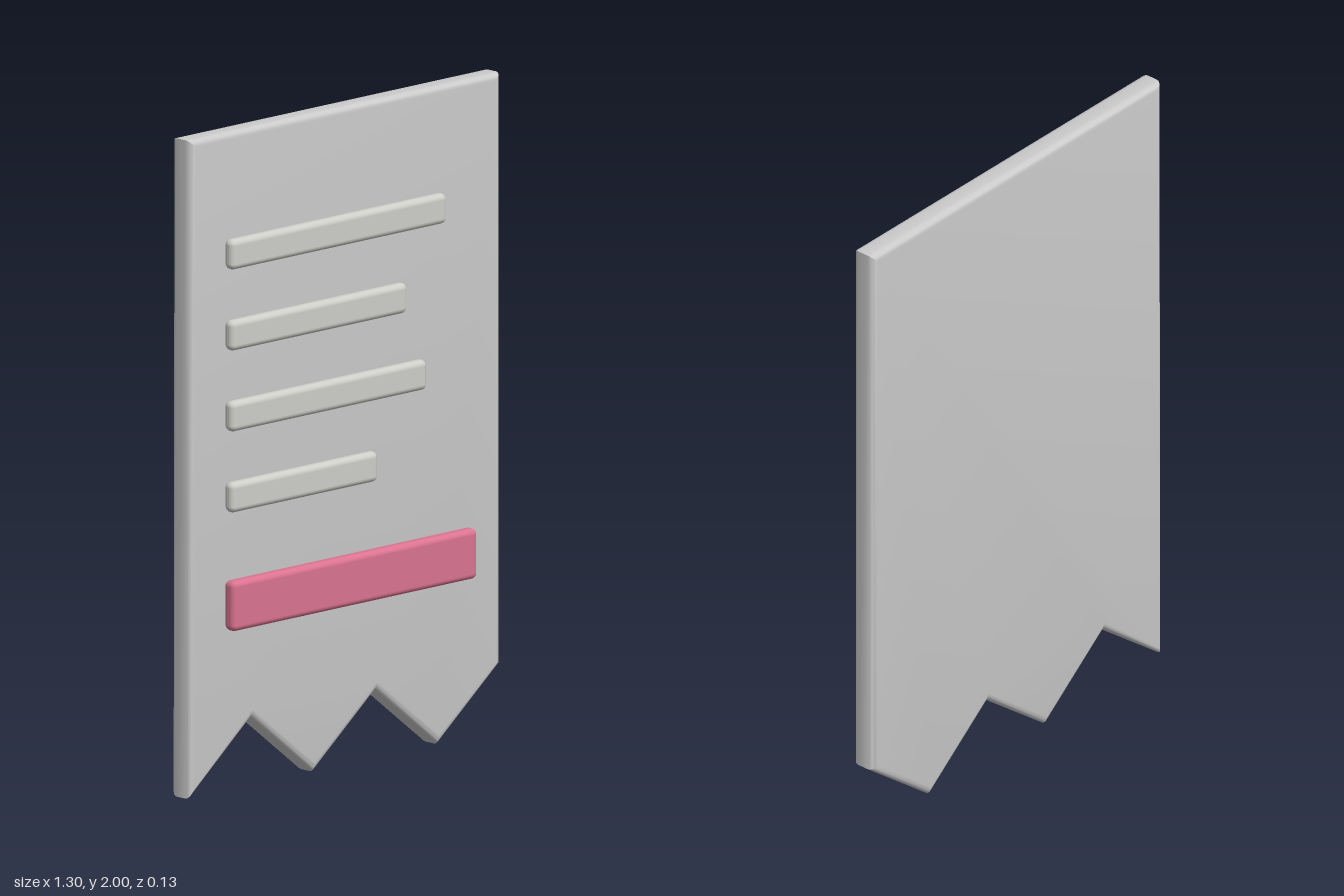
import * as THREE from 'three';
import { toCreasedNormals } from 'three/addons/utils/BufferGeometryUtils.js';
import { RoundedBoxGeometry } from 'three/addons/geometries/RoundedBoxGeometry.js';

const paperMaterial = new THREE.MeshStandardMaterial({ name: 'paperGrey', color: 0xcacaca });
const lineMaterial = new THREE.MeshStandardMaterial({ name: 'lineGrey', color: 0xcecec9 });
const totalMaterial = new THREE.MeshStandardMaterial({ name: 'pink', color: 0xdb7391 });

const BACK = -0.063, FRONT = 0.017, LEFT_MARGIN = -0.515;

// Sheet with a torn zigzag lower edge and rounded rims
function createPaper() {
  const half = 0.652, teeth = 5, bevel = 0.022;
  const shape = new THREE.Shape();
  shape.moveTo(half, 2);
  shape.lineTo(-half, 2);
  for (let i = 0; i <= teeth; i++) {
    shape.lineTo(-half + (2 * half * i) / teeth, i % 2 ? 0.205 : 0);
  }
  shape.closePath();
  const geometry = new THREE.ExtrudeGeometry(shape, {
    depth: FRONT - BACK - 2 * bevel,
    bevelThickness: bevel,
    bevelSize: bevel,
    bevelOffset: -bevel,
    bevelSegments: 5,
  });
  geometry.translate(0, 0, BACK + bevel);
  const paper = new THREE.Mesh(toCreasedNormals(geometry, 0.6), paperMaterial);
  paper.name = 'paper';
  return paper;
}

// Raised bar on the front, starting at the left margin
function createBar(name, right, y, height, depth, material) {
  const width = right - LEFT_MARGIN;
  const bar = new THREE.Mesh(new RoundedBoxGeometry(width, height, depth, 4, 0.018), material);
  bar.position.set(LEFT_MARGIN + width / 2, y, FRONT + depth / 2);
  bar.name = name;
  return bar;
}

export function createModel() {
  const model = new THREE.Group();
  model.name = 'receipt';
  model.add(createPaper());

  // Printed lines of differing length
  [0.388, 0.223, 0.305, 0.1].forEach((right, i) => {
    model.add(createBar(`textLine${i + 1}`, right, 1.636 - i * 0.246, 0.092, 0.04, lineMaterial));
  });

  model.add(createBar('totalBar', 0.51, 0.569, 0.153, 0.046, totalMaterial));
  return model;
}
